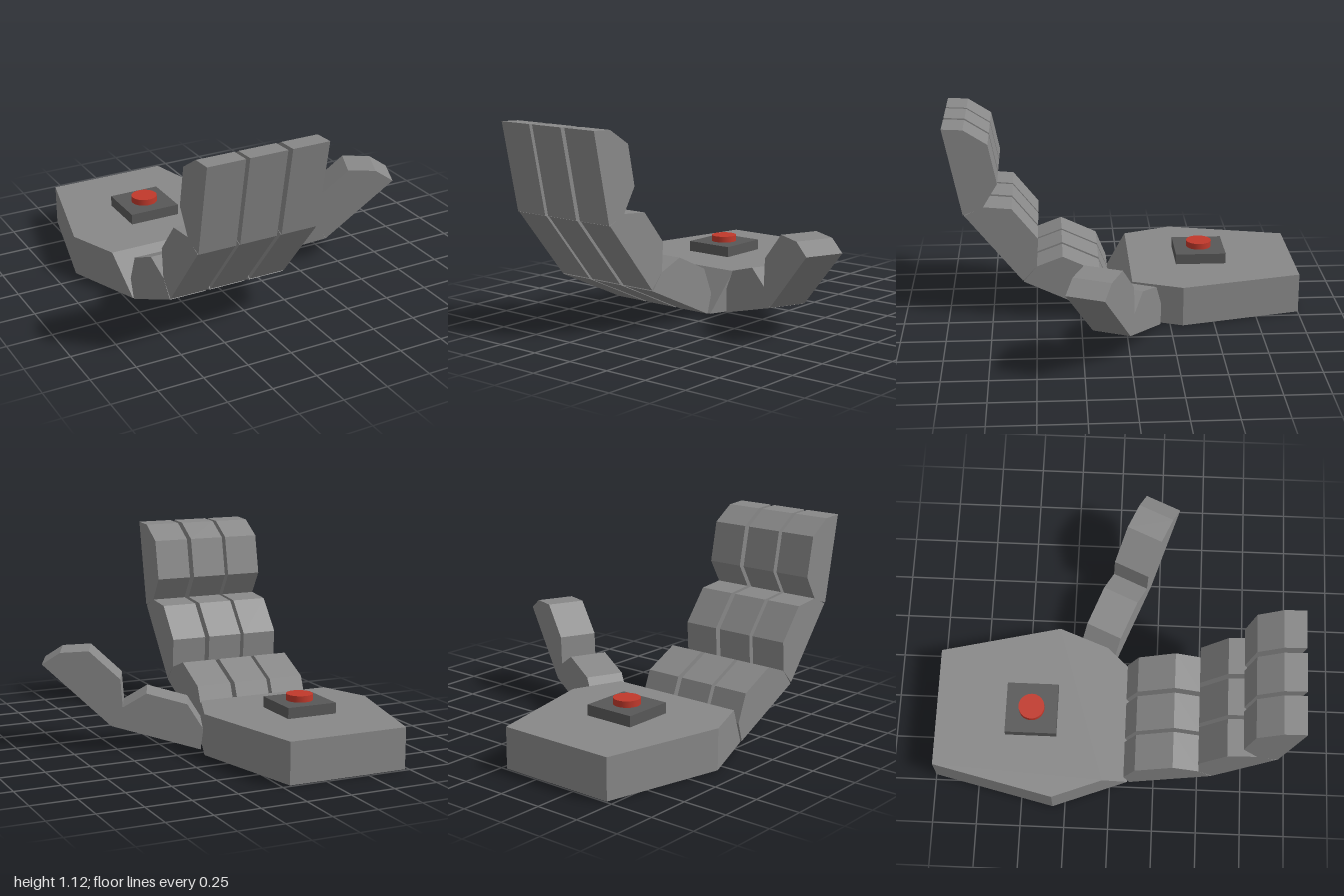
import * as THREE from 'three';

const grey = new THREE.MeshStandardMaterial({ color: 0x888888 });
grey.name = 'metalGrey';
const darkGrey = new THREE.MeshStandardMaterial({ color: 0x585858 });
darkGrey.name = 'plateGrey';
const red = new THREE.MeshStandardMaterial({ color: 0xc0392b });
red.name = 'buttonRed';

function add(parent, name, geometry, material, x = 0, y = 0, z = 0) {
  const mesh = new THREE.Mesh(geometry, material);
  mesh.name = name;
  mesh.position.set(x, y, z);
  parent.add(mesh);
  return mesh;
}

function extrude(points, depth) {
  const shape = new THREE.Shape(points.map(([x, y]) => new THREE.Vector2(x, y)));
  return new THREE.ExtrudeGeometry(shape, { depth, bevelEnabled: false });
}

// Side outline shared by every finger segment: flat back, faceted inside
const SEGMENT = [[0, 0], [0.507, 0], [0.478, 0.114], [0.369, 0.227], [0.138, 0.227], [0.017, 0.115]];

// A finger curls in its local XY plane; joints are [x, y, angle in degrees]
function makeFinger(name, joints, width) {
  const finger = new THREE.Group();
  finger.name = name;
  joints.forEach(([x, y, angle], i) => {
    const segment = add(finger, `${name}Segment${i + 1}`, extrude(SEGMENT, width), grey, x, y, 0);
    segment.rotation.z = THREE.MathUtils.degToRad(angle);
  });
  return finger;
}

// Hexagonal palm whose front edge slopes back toward the top
function makePalm() {
  const outline = [[-0.72, -0.10], [-0.04, -0.10], [0.12, 0.32], [-0.04, 1], [-0.72, 1], [-0.88, 0.32]];
  const geometry = extrude(outline, 0.228);
  geometry.rotateX(-Math.PI / 2);
  const p = geometry.attributes.position;
  for (let i = 0; i < p.count; i++) {
    if (p.getY(i) > 0.1 && p.getZ(i) > 0.05) {
      p.setX(i, p.getX(i) > -0.38 ? 0.013 : -0.773);
      p.setZ(i, -0.04);
    }
  }
  geometry.computeVertexNormals();
  return geometry;
}

export function createModel() {
  const hand = new THREE.Group();
  hand.name = 'mechanicalHand';

  add(hand, 'palm', makePalm(), grey, 0, 0.007, 0);

  // Button on its square plate
  add(hand, 'buttonPlate', new THREE.BoxGeometry(0.29, 0.06, 0.29), darkGrey, -0.385, 0.265, -0.455);
  add(hand, 'button', new THREE.CylinderGeometry(0.073, 0.073, 0.035, 32), red, -0.385, 0.3125, -0.455);

  // Three fingers reaching forward and curling up
  const curl = [[0.112, 0.008, 25.2], [0.575, 0.23, 51.2], [0.9, 0.628, 78.6]];
  [['outerFinger', -0.513], ['middleFinger', -0.284], ['innerFinger', -0.05]].forEach(([name, x]) => {
    const finger = makeFinger(name, curl, 0.207);
    finger.position.x = x;
    finger.rotation.y = -Math.PI / 2;
    hand.add(finger);
  });

  // Thumb angled out to the side
  const thumb = makeFinger('thumb', [[0, 0, 15.4], [0.491, 0.136, 43]], 0.215);
  thumb.position.set(0.085, 0.002, -0.195);
  thumb.rotation.y = -Math.atan2(0.4, 0.916);
  hand.add(thumb);

  return hand;
}
